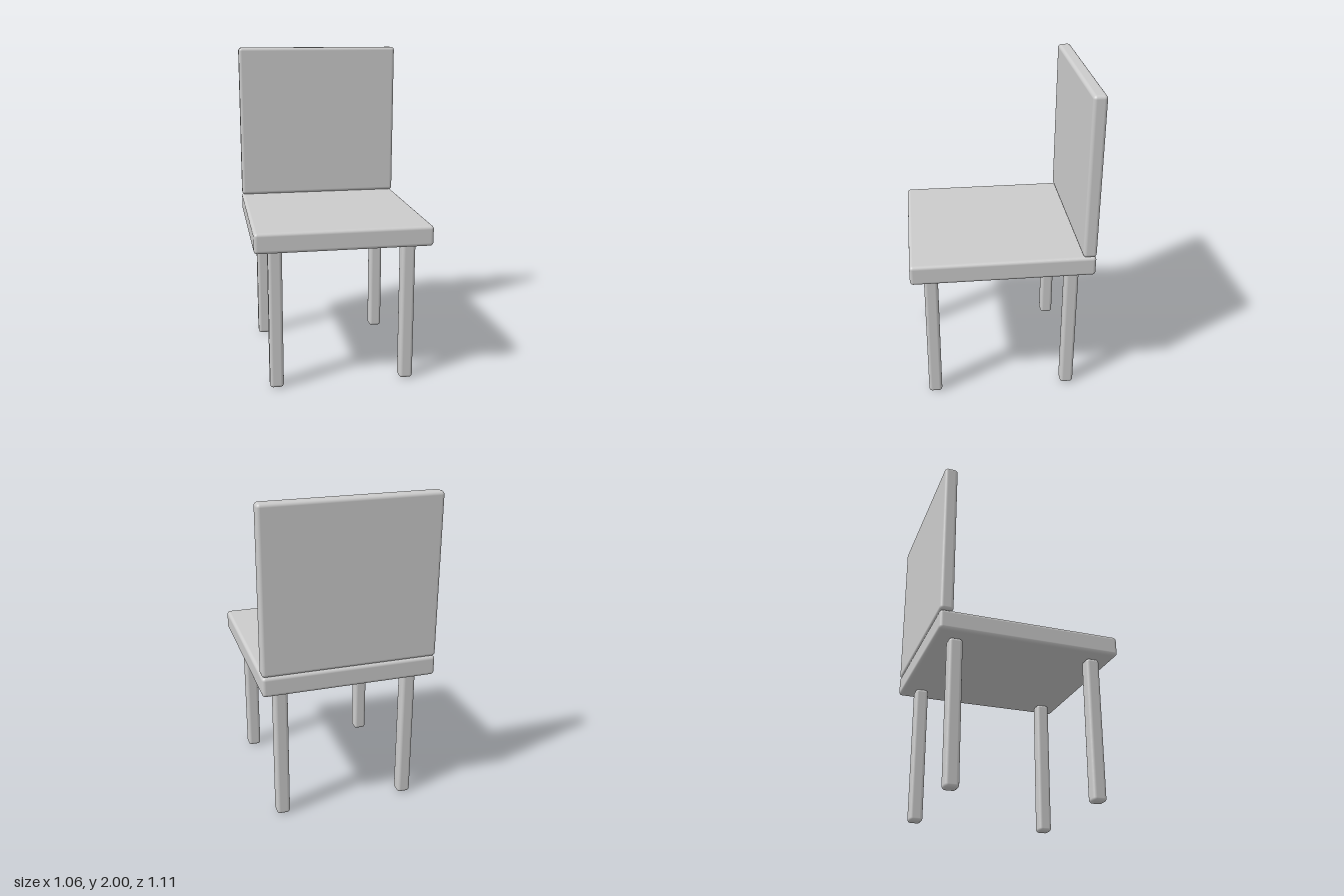
import * as THREE from 'three';
import { RoundedBoxGeometry } from 'three/addons/geometries/RoundedBoxGeometry.js';

export function createModel() {
  const chair = new THREE.Group();
  chair.name = 'chair';
  const material = new THREE.MeshStandardMaterial({ color: 0xcccccc });

  // Softly rounded block, placed by its centre
  function block(name, [w, h, d], [x, y, z]) {
    const mesh = new THREE.Mesh(new RoundedBoxGeometry(w, h, d, 4, 0.021), material);
    mesh.name = name;
    mesh.position.set(x, y, z);
    chair.add(mesh);
  }

  const width = 1.064, depth = 1.108;
  const legHeight = 0.878, seatTop = 1.002;
  const backThickness = 0.082;

  block('seat', [width, seatTop - legHeight, depth], [0, (seatTop + legHeight) / 2, 0]);

  // Backrest stands on the rear edge of the seat
  block('backrest', [width, 2 - seatTop, backThickness],
    [0, (2 + seatTop) / 2, (backThickness - depth) / 2]);

  // Four legs, inset from the seat corners
  for (const [side, x] of [['Left', 0.404], ['Right', -0.404]]) {
    for (const [end, z] of [['front', 0.43], ['back', -0.43]]) {
      block(`${end}${side}Leg`, [0.084, legHeight, 0.084], [x, legHeight / 2, z]);
    }
  }

  return chair;
}
